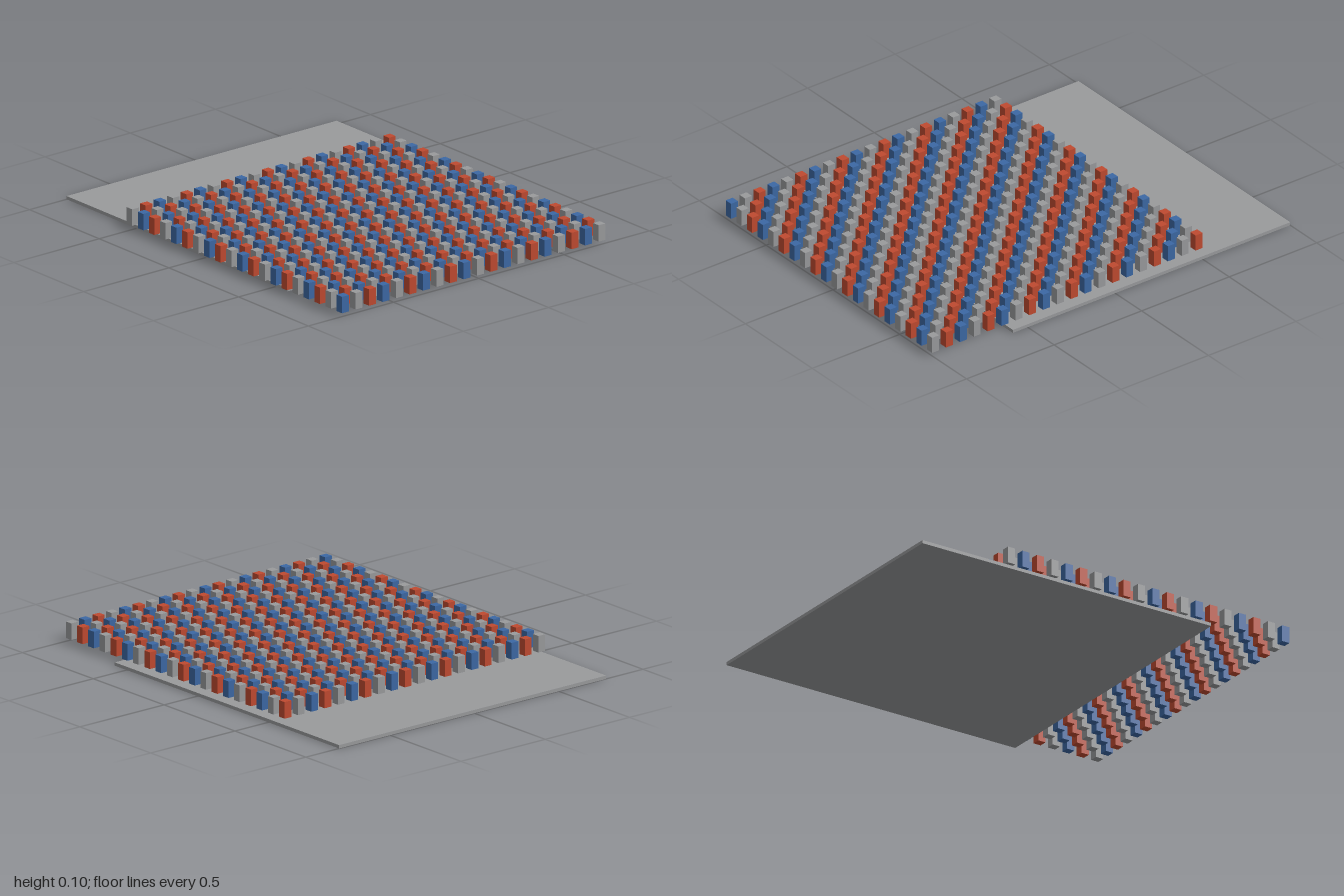
import * as THREE from 'three';

const U = 2 / 25.25; // one grid cell
const N = 20;        // cells per side

const mat = (name, color) => {
  const m = new THREE.MeshStandardMaterial({ color });
  m.name = name;
  return m;
};

export function createModel() {
  const group = new THREE.Group();
  group.name = 'blockGrid';
  const grey = mat('grey', 0x999a9c);
  const red = mat('red', 0xbf4a30);
  const blue = mat('blue', 0x3c68a4);

  // thin base plate, shifted back from the blocks
  const plate = new THREE.Mesh(new THREE.BoxGeometry(N * U, 0.2 * U, N * U), grey);
  plate.name = 'basePlate';
  plate.position.set(0.125 * U, 0.1 * U, -1 + (N / 2) * U);
  group.add(plate);

  // square grid of upright blocks, colours cycling along the diagonals
  const blockGeometry = new THREE.BoxGeometry(0.5 * U, U, 0.5 * U);
  const colours = [grey, red, blue];
  for (let row = 0; row < N; row++) {
    const line = new THREE.Group();
    line.name = `blockRow${row + 1}`;
    line.position.z = 1 - (0.25 + N - 1 - row) * U;
    for (let col = 0; col < N; col++) {
      const block = new THREE.Mesh(blockGeometry, colours[(col - row + 3 * N) % 3]);
      block.name = 'block';
      block.position.set((col - 9.875) * U, 0.7 * U, 0);
      line.add(block);
    }
    group.add(line);
  }
  return group;
}
